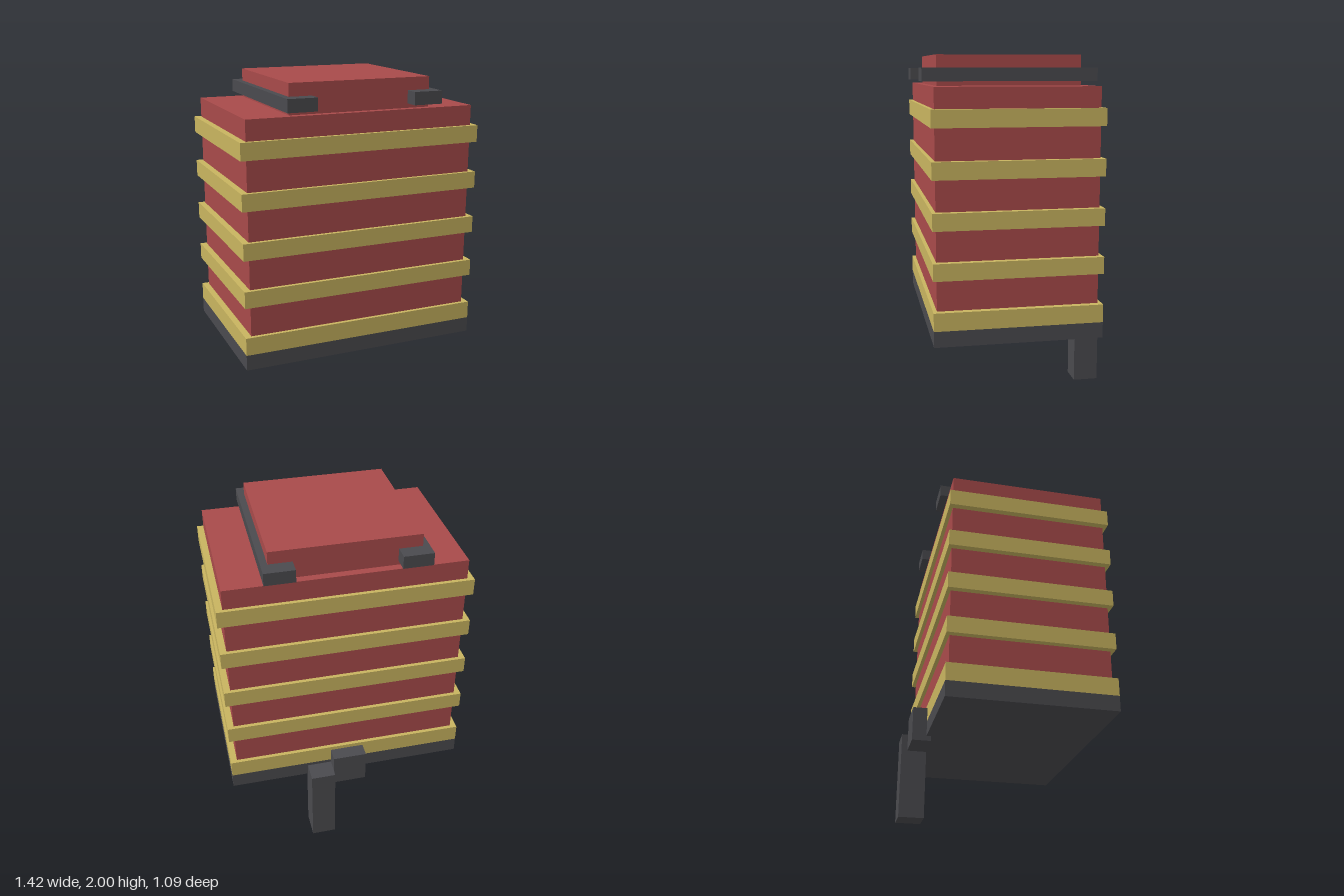
import * as THREE from 'three';

const red = new THREE.MeshStandardMaterial({ name: 'red', color: 0xa84a4a });
const gold = new THREE.MeshStandardMaterial({ name: 'gold', color: 0xc8b45f });
const darkGrey = new THREE.MeshStandardMaterial({ name: 'darkGrey', color: 0x4a4a4e });

// Box given by its limits along each axis
function block(name, material, [x0, x1], [y0, y1], [z0, z1]) {
  const mesh = new THREE.Mesh(new THREE.BoxGeometry(x1 - x0, y1 - y0, z1 - z0), material);
  mesh.position.set((x0 + x1) / 2, (y0 + y1) / 2, (z0 + z1) / 2);
  mesh.name = name;
  return mesh;
}

export function createModel() {
  const model = new THREE.Group();
  model.name = 'bandedTower';
  const rimX = [-0.712, 0.712];
  const rimZ = [-0.427, 0.525];

  // Base slab, main body and raised roof
  model.add(
    block('base', darkGrey, rimX, [0.43, 0.52], rimZ),
    block('body', red, [-0.675, 0.675], [0.52, 1.83], [-0.405, 0.503]),
    block('roof', red, [-0.42, 0.42], [1.83, 2], [-0.36, 0.46])
  );

  // Evenly spaced bands; the lowest rests on the base
  for (let i = 0; i < 5; i++) {
    const top = 0.623 + i * 0.273;
    model.add(block('band' + (i + 1), gold, rimX, [i ? top - 0.097 : 0.52, top], rimZ));
  }

  // Rails running front to back through the roof
  model.add(
    block('leftRail', darkGrey, [0.287, 0.458], [1.855, 1.928], [-0.447, 0.545]),
    block('rightRail', darkGrey, [-0.458, -0.287], [1.855, 1.928], [-0.447, 0.545])
  );

  // Post and bracket at the back
  model.add(
    block('post', darkGrey, [0.1, 0.245], [0, 0.5], [-0.545, -0.397]),
    block('bracket', darkGrey, [-0.1, 0.1], [0.4, 0.6], [-0.51, -0.4])
  );
  return model;
}
